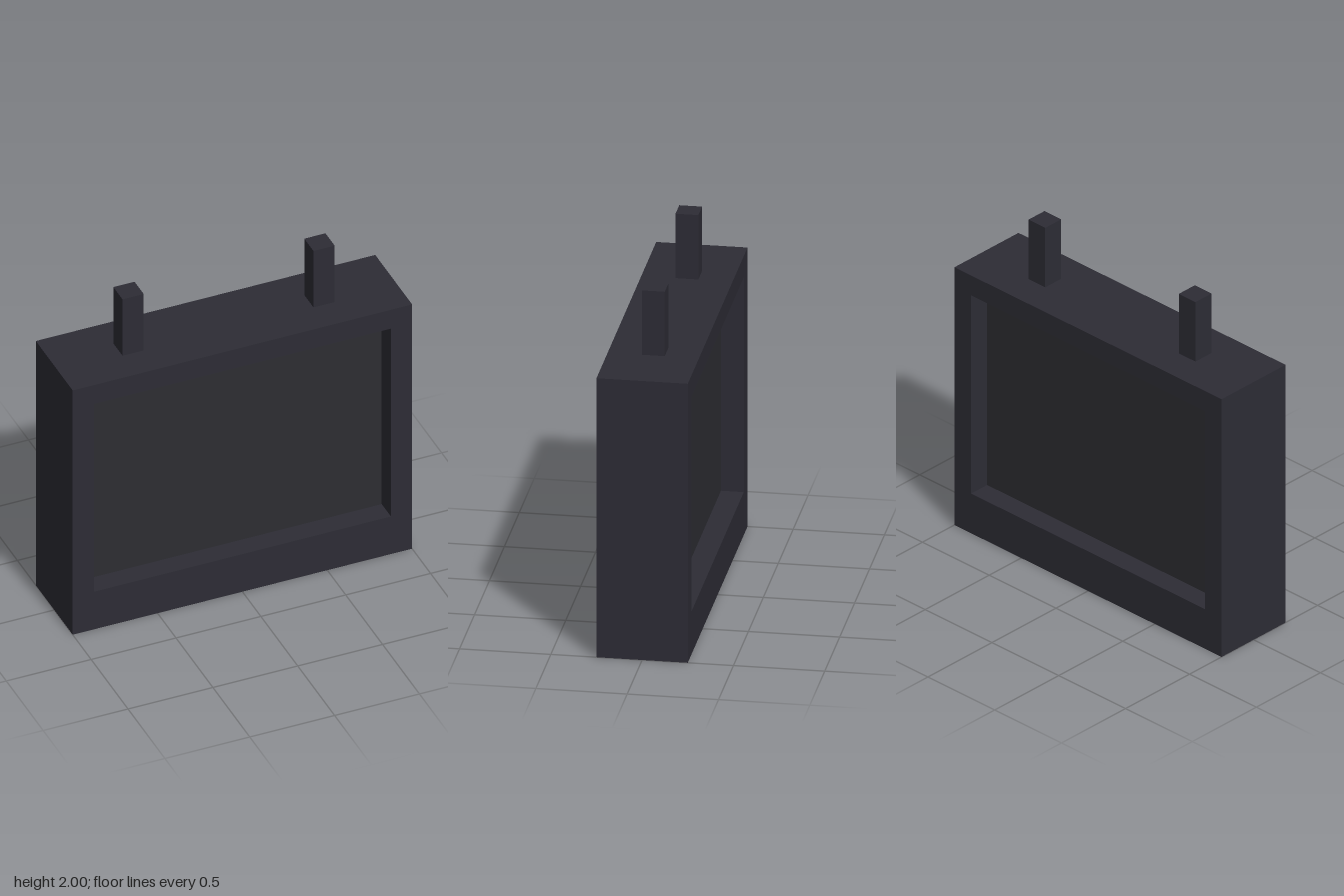
import * as THREE from 'three';

export function createModel() {
  const model = new THREE.Group();
  model.name = 'hangingSign';

  const frameMaterial = new THREE.MeshStandardMaterial({ color: 0x2d2c35 });
  frameMaterial.name = 'dark frame';
  const panelMaterial = new THREE.MeshStandardMaterial({ color: 0x2d2d32 });
  panelMaterial.name = 'dark panel';

  const add = (name, geometry, material, x, y, z) => {
    const mesh = new THREE.Mesh(geometry, material);
    mesh.name = name;
    mesh.position.set(x, y, z);
    model.add(mesh);
  };

  const rectangle = (Type, x, bottom, top) => new Type([
    new THREE.Vector2(-x, bottom), new THREE.Vector2(x, bottom),
    new THREE.Vector2(x, top), new THREE.Vector2(-x, top),
  ]);

  // Deep frame, open on both faces, with a wider bottom rail
  const outline = rectangle(THREE.Shape, 1, 0, 1.625);
  outline.holes.push(rectangle(THREE.Path, 0.875, 0.25, 1.5));
  const frame = new THREE.ExtrudeGeometry(outline, { depth: 0.5, bevelEnabled: false });
  add('frame', frame, frameMaterial, 0, 0, -0.25);

  // Screen slab recessed equally at the front and back
  add('screenPanel', new THREE.BoxGeometry(1.75, 1.25, 0.25), panelMaterial, 0, 0.875, 0);

  // Two square hanging posts
  for (const [name, side] of [['leftPost', 1], ['rightPost', -1]]) {
    add(name, new THREE.BoxGeometry(0.125, 0.375, 0.125), frameMaterial, side * 0.5625, 1.8125, 0);
  }

  return model;
}
